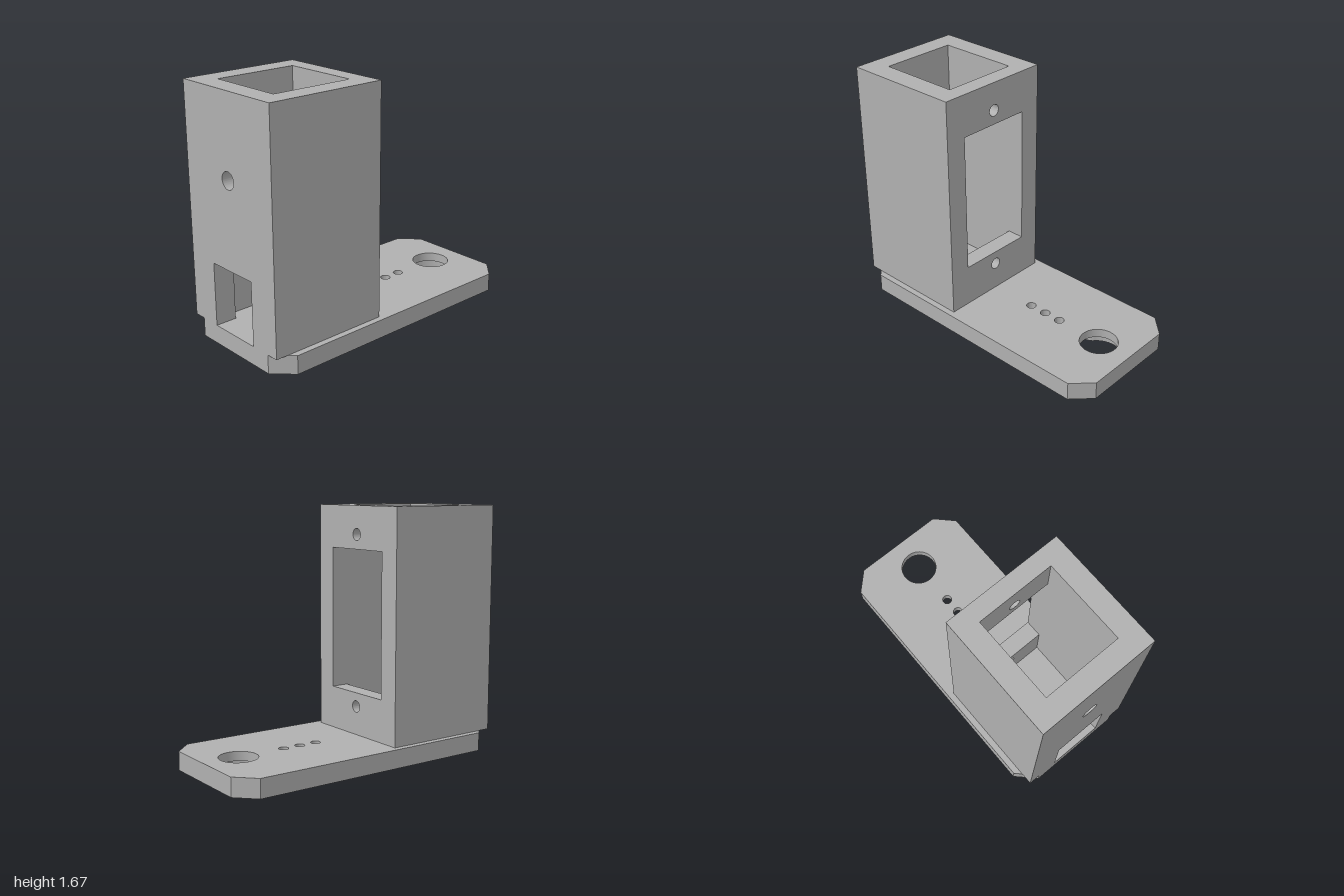
import * as THREE from 'three';
import { toCreasedNormals } from 'three/addons/utils/BufferGeometryUtils.js';

const PLATE_HALF = 0.457, PLATE_H = 0.125, CHAMFER = 0.125;
const TOWER_HALF = 0.415, CAVITY_HALF = 0.267, TOWER_TOP = 1.67;
const TOWER_BACK = 0.165, CAVITY_BACK = 0.285, CAVITY_FRONT = 0.855;

const polygon = (points) => new THREE.Shape(points.map(([x, y]) => new THREE.Vector2(x, y)));

function circleHole(y, radius) {
  const hole = new THREE.Path();
  hole.absarc(0, y, radius, 0, Math.PI * 2, false);
  return hole;
}

function rectHole(half, y0, y1) {
  const hole = new THREE.Path();
  hole.moveTo(-half, y0).lineTo(half, y0).lineTo(half, y1).lineTo(-half, y1).closePath();
  return hole;
}

// Recess: rounded slot that flares into a larger circle
function keyhole() {
  const p = new THREE.Path(), w = 0.083, r = 0.167, d = r * Math.SQRT1_2, cy = 0.755;
  p.absarc(0, 0.065, w, Math.PI, Math.PI * 2, false);
  p.lineTo(w, 0.55);
  p.quadraticCurveTo(w, 0.61, d, cy - d);
  p.absarc(0, cy, r, -Math.PI / 4, Math.PI * 1.25, false);
  p.quadraticCurveTo(-w, 0.61, -w, 0.55);
  p.closePath();
  return p;
}

function extrude(shape, holes, depth) {
  shape.holes.push(...holes);
  const geometry = new THREE.ExtrudeGeometry(shape, { depth, bevelEnabled: false, curveSegments: 32 });
  return toCreasedNormals(geometry, 0.5);
}

export function createModel() {
  const model = new THREE.Group();
  model.name = 'towerBracket';
  const grey = new THREE.MeshStandardMaterial({ color: 0xb0b0b0 });
  grey.name = 'plain grey';

  const add = (name, geometry, parent) => {
    const mesh = new THREE.Mesh(geometry, grey);
    mesh.name = name;
    parent.add(mesh);
    return mesh;
  };

  // Base plate: two layers, so the keyhole is recessed from below
  const base = new THREE.Group();
  base.name = 'basePlate';
  model.add(base);
  const outline = () => {
    const a = PLATE_HALF, b = PLATE_HALF - CHAMFER, c = 1 - CHAMFER;
    return polygon([[b, -1], [a, -c], [a, c], [b, 1], [-b, 1], [-a, c], [-a, -c], [-b, -1]]);
  };
  const layers = [
    ['plateLowerLayer', [keyhole()], 0],
    ['plateUpperLayer', [circleHole(0.755, 0.127), ...[0.17, 0.295, 0.42].map((y) => circleHole(y, 0.033))], PLATE_H / 2],
  ];
  for (const [name, holes, y] of layers) {
    const geometry = extrude(outline(), holes, PLATE_H / 2);
    geometry.rotateX(-Math.PI / 2);
    add(name, geometry, base).position.y = y;
  }

  // Square tower, open at the top
  const tower = new THREE.Group();
  tower.name = 'tower';
  model.add(tower);
  const T = TOWER_HALF, n = 0.19;

  // Front wall with a doorway at the foot and a round hole
  const front = polygon([
    [-T, PLATE_H], [-n, PLATE_H], [-n, 0.55], [n, 0.55], [n, PLATE_H],
    [T, PLATE_H], [T, TOWER_TOP], [-T, TOWER_TOP],
  ]);
  add('frontWall', extrude(front, [circleHole(1.13, 0.057)], 1 - CAVITY_FRONT), tower).position.z = CAVITY_FRONT;

  // Back wall with a tall window between two screw holes
  const back = polygon([[-T, PLATE_H], [T, PLATE_H], [T, TOWER_TOP], [-T, TOWER_TOP]]);
  const backHoles = [rectHole(CAVITY_HALF, 0.415, 1.382), circleHole(0.32, 0.04), circleHole(1.48, 0.04)];
  add('backWall', extrude(back, backHoles, CAVITY_BACK - TOWER_BACK), tower).position.z = TOWER_BACK;

  // Side walls
  for (const [name, side] of [['leftWall', 1], ['rightWall', -1]]) {
    const wall = new THREE.BoxGeometry(T - CAVITY_HALF, TOWER_TOP - PLATE_H, CAVITY_FRONT - CAVITY_BACK);
    add(name, wall, tower).position.set(
      side * (T + CAVITY_HALF) / 2, (TOWER_TOP + PLATE_H) / 2, (CAVITY_FRONT + CAVITY_BACK) / 2);
  }
  return model;
}
